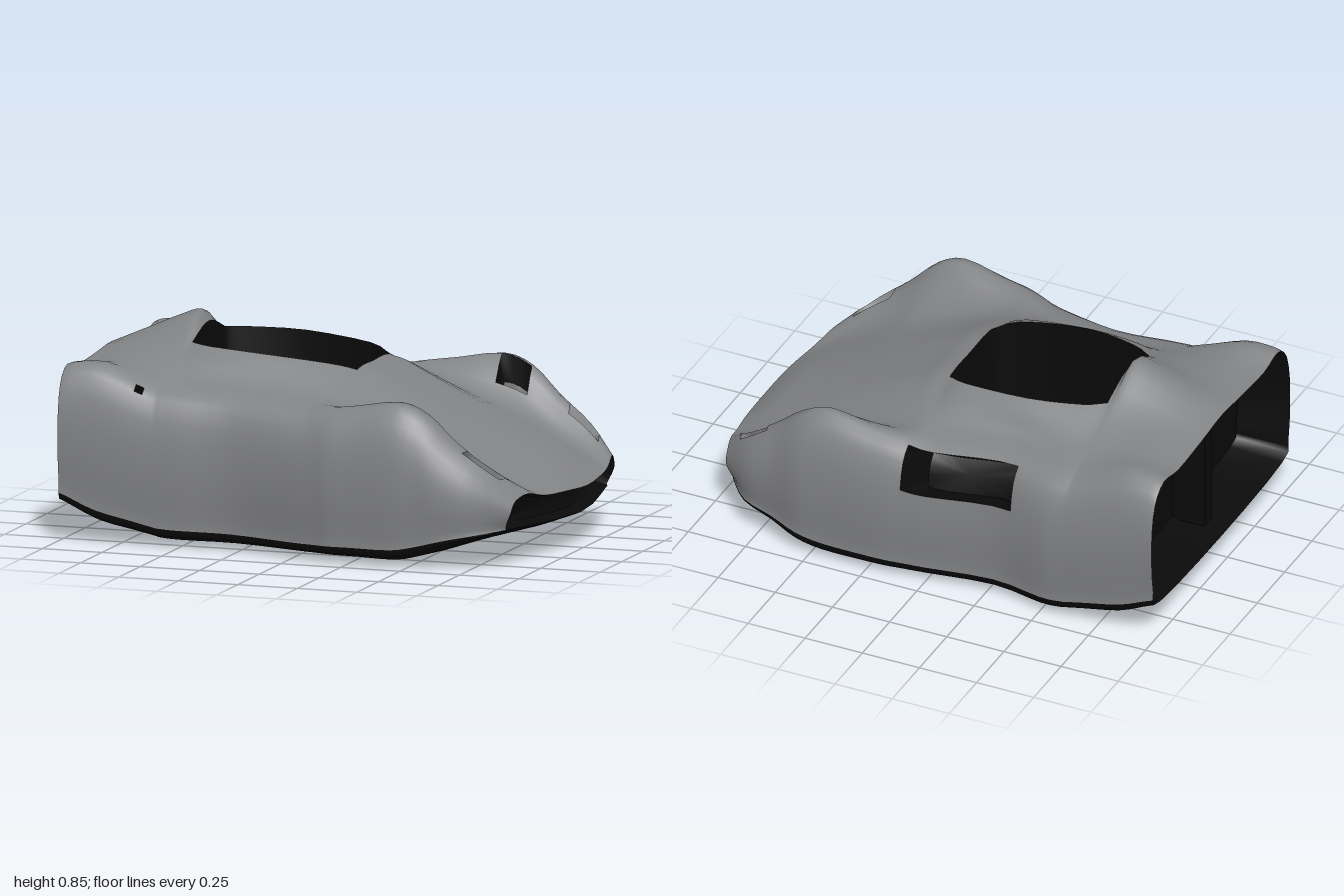
import * as THREE from 'three';

const SUB = 3;      // subdivisions between control points
const MID = -0.05;  // z of the body's centre line

// A value along the body's length, from a few [x, value] points
const along = (...pts) => x => {
  const i = Math.max(1, pts.findIndex(p => p[0] >= x));
  const [[x0, a], [x1, b]] = [pts[i - 1], pts[i]];
  return a + (b - a) * (x - x0) / (x1 - x0);
};

// Lengthwise outlines of the body, tail to nose
const rightWidth = along([-1, .645], [-.5, .64], [-.28, .6], [.2, .665], [.6, .665], [.9, .6], [1, .5]);
const leftWidth = along([-1, .625], [-.28, .615], [.17, .745], [.45, .765], [.75, .75], [.9, .71], [1, .61]);
const bottom = along([-1, .13], [-.85, .06], [-.57, 0], [.5, 0], [1, .13]);
const fender = along([-1, .69], [-.9, .72], [-.62, .62], [0, .58], [.45, .645], [.6, .6], [.9, .39], [1, .285]);
const valley = along([-1, .67], [-.85, .69], [-.5, .65], [.1, .6], [.6, .45], [1, .26]);
const rim = along([-1, .68], [-.62, .75], [-.2, .735], [0, .71], [.17, .66], [.27, .61], [.9, .315], [1, .25]);
const crown = along([-1, .015], [-.7, .09], [-.62, .1], [-.59, .055], [-.5, .005], [.9, .005], [1, -.01]);
// The cockpit's rounded plan outline
const rimWidth = x => Math.max(.19, .28 * Math.cbrt(Math.max(0, 1 - Math.abs((x + .24) / .36) ** 3)));

const STATIONS = [-1, -.96, -.85, -.7, -.62, -.59, -.5, -.28, 0, .1, .17, .27, .45, .6, .75, .9, 1];

// Control point k of one half section: 0 is the top centre, 8 the bottom centre
function sectionPoint(x, k, side) {
  const W = side > 0 ? leftWidth(x) : rightWidth(x);
  const B = bottom(x), F = fender(x), H = F - B;
  const [dz, y] = [
    [0, rim(x) + crown(x)], [rimWidth(x), rim(x)], [.62 * W, valley(x)], [.82 * W, F], [.95 * W, F - .12 * H],
    [W, B + .58 * H], [.975 * W, B + .18 * H], [.88 * W, B + .02], [0, B],
  ][k];
  // the nose bows back towards its corners, and its lower lip sits back
  const bow = THREE.MathUtils.smoothstep(x, .35, .95);
  const lip = x > .99 && k > 5 ? .03 : 0;
  return new THREE.Vector3(x - .28 * bow * dz * dz - lip, y, MID + side * dz);
}

function catmull(a, b, c, d, t) {
  const f = (p, q, r, s) => q + .5 * t * (r - p + t * (2 * p - 5 * q + 4 * r - s + t * (3 * (q - r) + s - p)));
  return new THREE.Vector3(f(a.x, b.x, c.x, d.x), f(a.y, b.y, c.y, d.y), f(a.z, b.z, c.z, d.z));
}

// Smoothly subdivide a row of points
function refine(row, closed) {
  const n = row.length, out = [];
  const at = i => closed ? row[(i + n) % n] : row[Math.min(n - 1, Math.max(0, i))];
  for (let i = 0; i < (closed ? n : n - 1); i++)
    for (let t = 0; t < SUB; t++) out.push(catmull(at(i - 1), at(i), at(i + 1), at(i + 2), t / SUB));
  if (!closed) out.push(row[n - 1].clone());
  return out;
}

function buildGrid() {
  const rings = STATIONS.map(x => {
    const ring = [];
    for (let k = 8; k >= 0; k--) ring.push(sectionPoint(x, k, 1));
    for (let k = 1; k < 8; k++) ring.push(sectionPoint(x, k, -1));
    return refine(ring, true);
  });
  const columns = rings[0].map((_, j) => refine(rings.map(r => r[j]), false));
  return columns[0].map((_, i) => columns.map(c => c[i]));
}

function meshFrom(points, index, name, material) {
  const g = new THREE.BufferGeometry().setFromPoints(points);
  g.setIndex(index);
  g.computeVertexNormals();
  const mesh = new THREE.Mesh(g, material);
  mesh.name = name;
  return mesh;
}

// Recess: a wall from the edge loop to a shrunken, shifted copy, closed by a back panel
function recess(loop, offset, shrink, name, material) {
  const n = loop.length, index = [];
  const centre = loop.reduce((a, p) => a.add(p), new THREE.Vector3()).divideScalar(n);
  const inner = loop.map(p => p.clone().sub(centre).multiply(shrink).add(centre).add(offset));
  const points = [...loop, ...inner, ...inner, centre.clone().add(offset)];
  for (let a = 0; a < n; a++) {
    const b = (a + 1) % n;
    index.push(a, b, n + a, b, n + b, n + a, 2 * n + a, 2 * n + b, 3 * n);
  }
  return meshFrom(points, index, name, material);
}

export function createModel() {
  const model = new THREE.Group();
  const paint = new THREE.MeshStandardMaterial({ color: 0x828385, side: THREE.DoubleSide });
  const black = new THREE.MeshStandardMaterial({ color: 0x0a0a0a, side: THREE.DoubleSide });
  const grid = buildGrid();
  const rows = grid.length, cols = grid[0].length;
  const v = (x, y, z) => new THREE.Vector3(x, y, z);

  // Openings: grid rectangle [i0, i1, j0, j1], direction and taper of the recess
  const openings = [
    { name: 'cockpit', r: [15, 27, 21, 27], off: v(0, -.65, 0), shrink: v(.95, .1, .95), mat: black },
    { name: 'sideIntake', r: [20, 27, 34, 38], off: v(-.02, -.06, .12), shrink: v(.8, .8, .8), mat: black },
    { name: 'fenderVent', r: [36, 39, 31, 33], off: v(0, -.1, 0), shrink: v(.8, .8, .8), mat: black },
    { name: 'rearFenderVent', r: [9, 10, 13, 14], off: v(0, -.05, -.03), shrink: v(.8, .8, .8), mat: black },
    { name: 'leftHeadlight', r: [43, 46, 14, 16], off: v(-.04, -.03, 0), shrink: v(.7, .7, .7), mat: paint },
    { name: 'rightHeadlight', r: [43, 46, 32, 34], off: v(-.04, -.03, 0), shrink: v(.7, .7, .7), mat: paint },
  ];
  const isOpen = (i, j) => openings.some(({ r }) => i >= r[0] && i < r[1] && j >= r[2] && j < r[3]);

  // Painted body shell and black underside
  const shell = [], under = [];
  for (let i = 0; i < rows - 1; i++)
    for (let j = 0; j < cols; j++) {
      if (isOpen(i, j)) continue;
      const k = (j + 1) % cols;
      const a = i * cols + j, b = a + cols, d = i * cols + k, c = d + cols;
      (j < 5 || j >= cols - 5 ? under : shell).push(a, b, d, b, c, d);
    }
  model.add(meshFrom(grid.flat(), shell, 'bodyShell', paint));
  model.add(meshFrom(grid.flat(), under, 'underside', black));

  // Cockpit, vents and lamp recesses
  for (const { name, r: [i0, i1, j0, j1], off, shrink, mat } of openings) {
    const loop = [];
    for (let i = i0; i < i1; i++) loop.push(grid[i][j0]);
    for (let j = j0; j < j1; j++) loop.push(grid[i1][j]);
    for (let i = i1; i > i0; i--) loop.push(grid[i][j1]);
    for (let j = j1; j > j0; j--) loop.push(grid[i0][j]);
    model.add(recess(loop, off, shrink, name, mat));
  }

  // Hollow tail with a divider, and the nose mouth
  model.add(recess(grid[0], v(.2, 0, 0), v(1, .85, .9), 'tailRecess', black));
  const divider = new THREE.Mesh(new THREE.BoxGeometry(.14, .47, .07), black);
  divider.position.set(-.87, .41, MID);
  divider.name = 'tailDivider';
  model.add(divider);
  model.add(recess(grid[rows - 1], v(-.04, 0, 0), v(1, .75, .95), 'noseIntake', black));
  return model;
}
